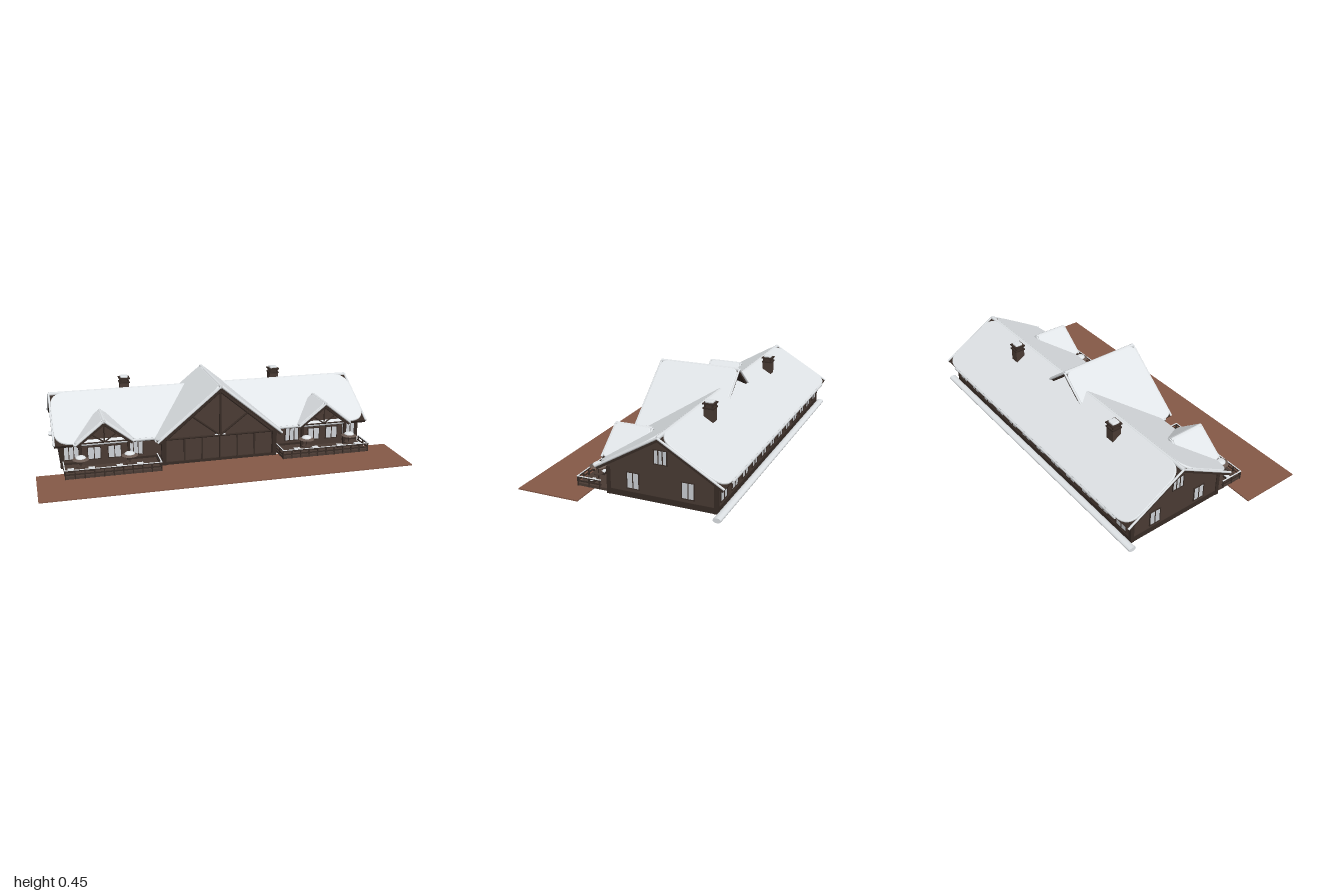
import * as THREE from 'three';

export function createModel() {
  const model = new THREE.Group();
  model.name = 'lodge';
  const mat = (name, color, side = THREE.FrontSide) => {
    const m = new THREE.MeshStandardMaterial({ color, side });
    m.name = name;
    return m;
  };
  const wall = mat('brown timber', 0x4a3b34);
  const beam = mat('dark timber', 0x382c26);
  const snow = mat('snow', 0xe2e6e9);
  const glass = mat('pale glass', 0xcdd1d6);
  const paving = mat('red paving', 0x855947);
  const cloth = mat('parasol cloth', 0x6a5a52, THREE.DoubleSide);

  const add = (parent, name, geo, material, x = 0, y = 0, z = 0) => {
    const m = new THREE.Mesh(geo, material);
    m.name = name;
    m.position.set(x, y, z);
    parent.add(m);
    return m;
  };
  // Box given by its lower and upper corners
  const box = (parent, name, material, x0, x1, y0, y1, z0, z1) =>
    add(parent, name, new THREE.BoxGeometry(x1 - x0, y1 - y0, z1 - z0), material,
      (x0 + x1) / 2, (y0 + y1) / 2, (z0 + z1) / 2);
  const up = new THREE.Vector3(0, 1, 0);
  // Round or square bar between two points
  const bar = (parent, name, material, a, b, r, sides = 8) => {
    const p = new THREE.Vector3(...a), q = new THREE.Vector3(...b);
    const d = q.clone().sub(p);
    const m = add(parent, name, new THREE.CylinderGeometry(r, r, d.length(), sides), material);
    m.position.copy(p.add(q).multiplyScalar(0.5));
    m.quaternion.setFromUnitVectors(up, d.normalize());
    return m;
  };

  // Five-sided house block, extruded along z
  const house = (parent, name, half, base, eave, peak, z0, z1) => {
    const s = new THREE.Shape();
    s.moveTo(-half, base);
    s.lineTo(half, base);
    s.lineTo(half, eave);
    s.lineTo(0, peak);
    s.lineTo(-half, eave);
    const g = new THREE.ExtrudeGeometry(s, { depth: z1 - z0, bevelEnabled: false });
    return add(parent, name, g, wall, 0, 0, z0);
  };

  // Sheet of snow with rounded corners, lying in x and z
  const snowSheet = (w, l, r) => {
    const s = new THREE.Shape(), a = w / 2, b = l / 2;
    s.moveTo(-a + r, -b);
    s.lineTo(a - r, -b);
    s.quadraticCurveTo(a, -b, a, -b + r);
    s.lineTo(a, b - r);
    s.quadraticCurveTo(a, b, a - r, b);
    s.lineTo(-a + r, b);
    s.quadraticCurveTo(-a, b, -a, b - r);
    s.lineTo(-a, -b + r);
    s.quadraticCurveTo(-a, -b, -a + r, -b);
    return new THREE.ExtrudeGeometry(s, {
      depth: 0.003, bevelThickness: 0.005, bevelSize: 0.005, bevelOffset: -0.005, bevelSegments: 2, curveSegments: 8,
    }).rotateX(-Math.PI / 2);
  };

  // Pitched roof with its ridge along z
  const roof = (parent, half, ridge, eave, z0, z1, corner) => {
    const rise = ridge - eave, len = Math.hypot(half, rise), mid = (z0 + z1) / 2;
    for (const s of [-1, 1]) {
      const slope = new THREE.Group();
      slope.name = 'roofSlope';
      slope.position.set(0, ridge, mid);
      slope.rotation.z = -s * Math.atan2(rise, half);
      parent.add(slope);
      add(slope, 'roofBoards', new THREE.BoxGeometry(len, 0.016, z1 - z0), beam, s * len / 2, -0.008, 0);
      add(slope, 'roofSnow', snowSheet(len, z1 - z0 - 0.004, corner), snow, s * len / 2, 0.003, 0);
      bar(slope, 'eaveSnow', snow, [s * len, 0, -(z1 - z0) / 2 + corner], [s * len, 0, (z1 - z0) / 2 - corner], 0.009);
      for (const z of [z0 - mid, z1 - mid])
        bar(slope, 'rakeSnow', snow, [0, 0.002, z], [s * len, 0.002, z], 0.006);
    }
    bar(parent, 'ridgeSnow', snow, [0, ridge, z0], [0, ridge, z1], 0.011);
  };

  // Framed window facing +z, with upright bars
  const window = (parent, x, y, z, w, h, panes) => {
    const g = new THREE.Group();
    g.name = 'window';
    g.position.set(x, y, z);
    parent.add(g);
    box(g, 'windowPane', glass, -w / 2, w / 2, -h / 2, h / 2, 0, 0.003);
    for (const s of [-1, 1])
      box(g, 'windowRail', beam, -w / 2 - 0.003, w / 2 + 0.003, s * h / 2 - 0.002, s * h / 2 + 0.002, 0, 0.006);
    for (let i = 0; i <= panes; i++) {
      const px = -w / 2 + (w * i) / panes;
      box(g, 'windowBar', beam, px - 0.002, px + 0.002, -h / 2, h / 2, 0, 0.006);
    }
    return g;
  };

  // Timber truss in a gable front
  const truss = (parent, half, base, peak, z, r) => {
    bar(parent, 'tieBeam', beam, [-half, base, z], [half, base, z], r);
    bar(parent, 'kingPost', beam, [0, base, z], [0, peak, z], r);
    for (const s of [-1, 1]) {
      bar(parent, 'rafter', beam, [s * half, base, z], [0, peak, z], r);
      bar(parent, 'strut', beam, [0, base, z], [s * half * 0.52, base + (peak - base) * 0.48, z], r);
    }
  };

  // Main hall, ridge running left to right
  const hall = new THREE.Group();
  hall.name = 'mainHall';
  hall.position.z = -0.19;
  hall.rotation.y = Math.PI / 2;
  model.add(hall);
  house(hall, 'hallWalls', 0.286, 0.012, 0.16, 0.332, -0.86, 0.86);
  roof(hall, 0.332, 0.352, 0.157, -0.895, 0.895, 0.1);
  box(hall, 'plinth', beam, -0.289, 0.289, 0.012, 0.042, -0.863, 0.863);
  for (const s of [-1, 1]) {
    // End walls
    const end = new THREE.Group();
    end.name = 'endWall';
    end.position.set(s * 0.86, 0, -0.19);
    end.rotation.y = s * Math.PI / 2;
    model.add(end);
    window(end, s * 0.14, 0.102, 0, 0.064, 0.084, 2);
    window(end, s * -0.147, 0.102, 0, 0.064, 0.084, 2);
    window(end, 0, 0.246, 0, 0.068, 0.072, 3);
    for (const e of [-1, 1])
      box(end, 'cornerPost', beam, e * 0.28 - 0.01, e * 0.28 + 0.01, 0.012, 0.155, -0.015, 0.005);
  }
  // Row of back windows
  for (let i = 0; i < 12; i++)
    window(model, -0.787 + i * 0.143, 0.1, -0.476, 0.08, 0.085, 2).rotation.y = Math.PI;

  // Central gable
  const gable = new THREE.Group();
  gable.name = 'centralGable';
  model.add(gable);
  house(gable, 'gableWalls', 0.31, 0.012, 0.162, 0.42, 0, 0.185);
  roof(gable, 0.352, 0.442, 0.152, -0.255, 0.218, 0.045);
  truss(gable, 0.3, 0.162, 0.412, 0.195, 0.006);
  for (const x of [-0.305, -0.2, -0.1, 0, 0.1, 0.2, 0.305])
    box(gable, 'frontPost', beam, x - 0.004, x + 0.004, 0.012, 0.162, 0.185, 0.191);
  box(gable, 'sill', beam, -0.31, 0.31, 0.012, 0.03, 0.185, 0.195);
  box(gable, 'lintelSnow', snow, -0.03, 0.03, 0.166, 0.17, 0.19, 0.2);
  for (const s of [-1, 1])
    box(gable, 'cornerPost', beam, s * 0.315 - 0.012, s * 0.315 + 0.012, 0.012, 0.165, 0.175, 0.2);

  // Wings, each with a small gable, a terrace and a chimney
  for (const s of [-1, 1]) {
    const wing = new THREE.Group();
    wing.name = s > 0 ? 'leftWing' : 'rightWing';
    wing.position.x = s * 0.63;
    model.add(wing);
    house(wing, 'dormerWalls', 0.12, 0.012, 0.16, 0.262, 0, 0.13);
    roof(wing, 0.155, 0.283, 0.16, -0.035, 0.17, 0.025);
    truss(wing, 0.125, 0.163, 0.26, 0.15, 0.004);
    for (const e of [-1, 1]) {
      box(wing, 'porchPost', beam, e * 0.13 - 0.007, e * 0.13 + 0.007, 0.03, 0.165, 0.14, 0.154);
      window(wing, e * 0.055, 0.1, 0.13, 0.07, 0.07, 2);
      window(wing, e * 0.175, 0.1, 0.096, 0.08, 0.085, 3);
    }

    // Terrace floor and railing
    const terrace = new THREE.Group();
    terrace.name = 'terrace';
    terrace.position.x = -s * 0.032;
    wing.add(terrace);
    box(terrace, 'terraceFloor', wall, -0.255, 0.255, 0.016, 0.03, 0.09, 0.272);
    for (const y of [0.042, 0.062]) {
      box(terrace, 'frontRail', beam, -0.257, 0.257, y - 0.003, y + 0.003, 0.268, 0.275);
      for (const e of [-1, 1])
        box(terrace, 'sideRail', beam, e * 0.254 - 0.003, e * 0.254 + 0.003, y - 0.003, y + 0.003, 0.14, 0.275);
    }
    box(terrace, 'railSnow', snow, -0.257, 0.257, 0.065, 0.068, 0.27, 0.275);
    for (const e of [-1, 1])
      box(terrace, 'railSnow', snow, e * 0.255 - 0.003, e * 0.255 + 0.003, 0.065, 0.068, 0.14, 0.275);
    for (let i = 0; i <= 10; i++) {
      const x = -0.254 + i * 0.0508;
      box(terrace, 'railPost', beam, x - 0.003, x + 0.003, 0.016, 0.065, 0.267, 0.274);
    }
    for (const e of [-1, 1]) for (const z of [0.145, 0.205])
      box(terrace, 'railPost', beam, e * 0.254 - 0.003, e * 0.254 + 0.003, 0.016, 0.065, z, z + 0.006);

    // Parasols over tables with snowy benches
    for (const x of [-0.126, 0.134]) {
      const px = s * x;
      bar(wing, 'parasolPole', beam, [px, 0.03, 0.205], [px, 0.112, 0.205], 0.003);
      add(wing, 'parasol', new THREE.ConeGeometry(0.044, 0.018, 16, 1, true), cloth, px, 0.106, 0.205);
      add(wing, 'parasolSnow', new THREE.SphereGeometry(0.028, 16, 8, 0, Math.PI * 2, 0, Math.PI / 2)
        .scale(1, 0.45, 1), snow, px, 0.105, 0.205);
      add(wing, 'table', new THREE.CylinderGeometry(0.024, 0.024, 0.005, 12), wall, px, 0.056, 0.205);
      for (const e of [-1, 1]) {
        box(wing, 'bench', beam, px + e * 0.055 - 0.017, px + e * 0.055 + 0.017, 0.03, 0.044, 0.195, 0.215);
        box(wing, 'benchSnow', snow, px + e * 0.055 - 0.017, px + e * 0.055 + 0.017, 0.044, 0.048, 0.195, 0.215);
      }
    }

    // Chimney with an open top and a snowy cap
    const chimney = new THREE.Group();
    chimney.name = 'chimney';
    chimney.position.set(s * 0.457, 0, -0.272);
    model.add(chimney);
    box(chimney, 'chimneyStack', wall, -0.026, 0.026, 0.26, 0.372, -0.026, 0.026);
    box(chimney, 'chimneyCollar', beam, -0.03, 0.03, 0.37, 0.378, -0.03, 0.03);
    for (const a of [-1, 1]) for (const b of [-1, 1])
      box(chimney, 'chimneyPost', beam, a * 0.021 - 0.004, a * 0.021 + 0.004, 0.376, 0.396, b * 0.021 - 0.004, b * 0.021 + 0.004);
    box(chimney, 'chimneyCap', beam, -0.031, 0.031, 0.394, 0.401, -0.031, 0.031);
    add(chimney, 'chimneySnow', snowSheet(0.044, 0.044, 0.008), snow, 0, 0.404, 0);
  }

  // Forecourt and the bank of snow behind the building
  box(model, 'forecourt', paving, -1, 1, 0.01, 0.016, 0.185, 0.522);
  const bank = add(model, 'snowBank', new THREE.CylinderGeometry(0.021, 0.021, 1.82, 12)
    .rotateZ(Math.PI / 2).scale(1, 0.58, 1), snow, 0.01, 0.0122, -0.497);
  bank.rotation.y = 0;

  return model;
}
